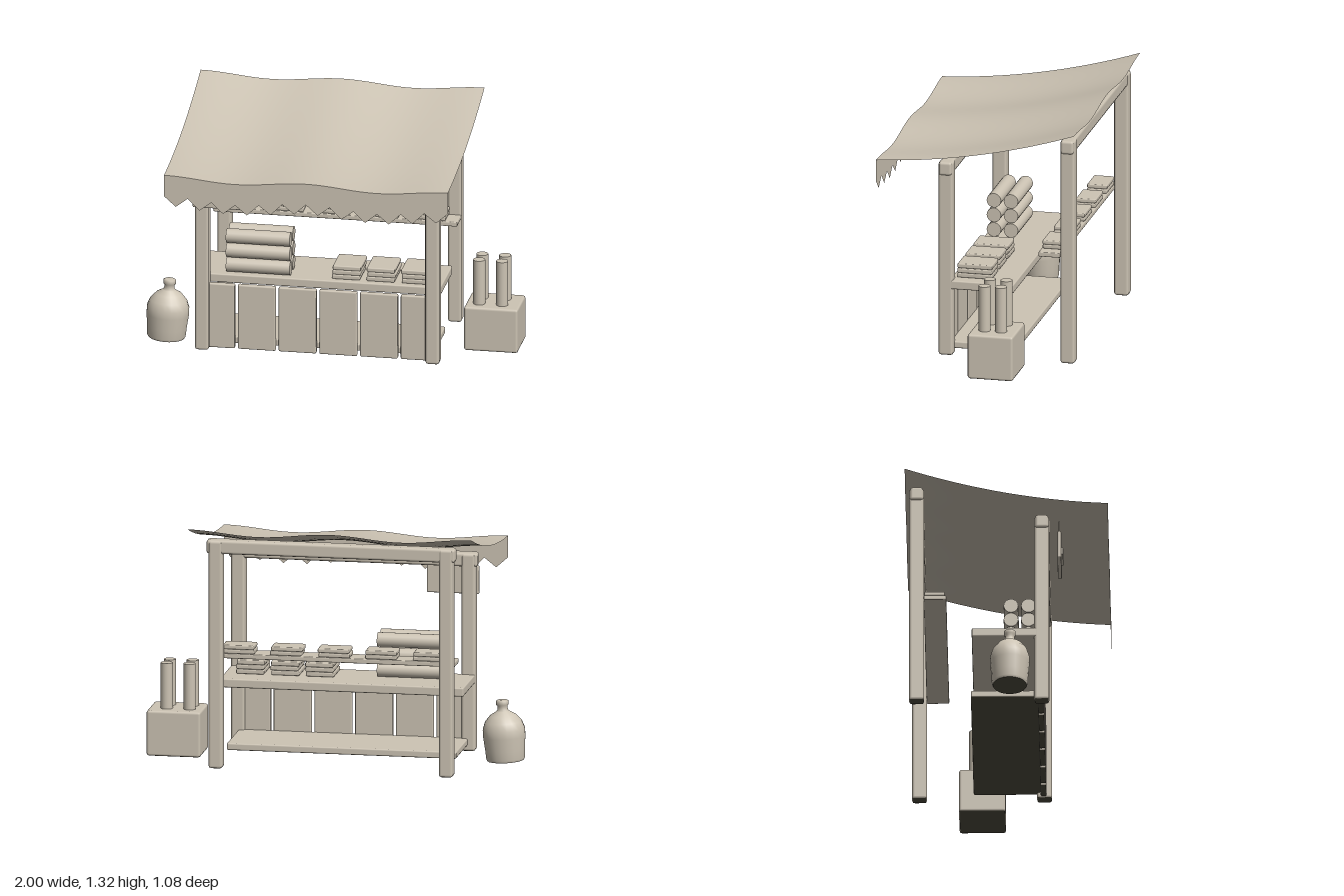
import * as THREE from 'three';
import { RoundedBoxGeometry } from 'three/addons/geometries/RoundedBoxGeometry.js';

export function createModel() {
  const model = new THREE.Group();
  model.name = 'marketStall';
  const clay = new THREE.MeshStandardMaterial({ color: 0xcdc4b4 });
  clay.name = 'clay';
  const sheet = new THREE.MeshStandardMaterial({ color: 0xcdc4b4, side: THREE.DoubleSide });
  sheet.name = 'clayCloth';
  const dark = new THREE.MeshStandardMaterial({ color: 0x504e40 });
  dark.name = 'darkUnderside';
  // Box sides in the order +x, -x, +y, -y, +z, -z
  const grounded = [clay, clay, clay, dark, clay, clay];

  const add = (name, geo, mat = clay, parent = model) => {
    const m = new THREE.Mesh(geo, mat);
    m.name = name;
    parent.add(m);
    return m;
  };
  // Bevelled block given by its min and max on each axis
  const block = (name, x0, x1, y0, y1, z0, z1, r = 0.008, mat = clay) => {
    const m = add(name, new RoundedBoxGeometry(x1 - x0, y1 - y0, z1 - z0, 1, r), mat);
    m.position.set((x0 + x1) / 2, (y0 + y1) / 2, (z0 + z1) / 2);
    return m;
  };

  // Posts and cross beams
  for (const [name, z, top] of [['front', 0.187, 1.092], ['back', -0.478, 1.257]]) {
    for (const x of [-0.6625, 0.5825]) {
      block(name + 'Post', x - 0.038, x + 0.038, 0.015, top - 0.003, z - 0.04, z + 0.04, 0.015, grounded);
    }
    block(name + 'Beam', -0.712, 0.632, top - 0.075, top, z - 0.036, z + 0.036, 0.015);
  }

  // Counter, lower shelf, back shelf
  block('counterTop', -0.699, 0.619, 0.385, 0.433, -0.185, 0.168);
  block('lowerShelf', -0.66, 0.58, 0.046, 0.084, -0.19, 0.17, 0.008, grounded);
  block('backShelf', -0.699, 0.619, 0.601, 0.627, -0.44, -0.32, 0.006);

  // Front planks
  for (let i = 0; i < 6; i++) {
    const x = -0.59 + i * 0.22;
    block('frontPlank', x - 0.102, x + 0.102, 0.025, 0.387, 0.166, 0.198, 0.008, grounded);
  }

  // Wavy sagging canopy
  const cx = -0.04, width = 1.534, half = 0.54;
  const roofY = (x, z) => 1.16 - 0.192 * z + 0.139 * z * z
    + 0.0135 * Math.cos((x - cx) * Math.PI * 4 / width);
  const roof = new THREE.PlaneGeometry(width, half * 2, 48, 16).rotateX(-Math.PI / 2).translate(cx, 0, 0);
  const p = roof.attributes.position;
  for (let i = 0; i < p.count; i++) p.setY(i, roofY(p.getX(i), p.getZ(i)));
  roof.computeVertexNormals();
  add('canopy', roof, sheet);

  // Zigzag valance
  const fringe = new THREE.Shape();
  const teeth = 12, x0 = cx - width / 2;
  for (let i = 0; i <= 48; i++) {
    const x = x0 + width * i / 48;
    if (i) fringe.lineTo(x, roofY(x, half));
    else fringe.moveTo(x, roofY(x, half));
  }
  for (let i = teeth * 2; i >= 0; i--) {
    const x = x0 + width * i / (teeth * 2);
    fringe.lineTo(x, roofY(x, half) - (i % 2 ? 0.173 : 0.118));
  }
  add('valance', new THREE.ShapeGeometry(fringe), sheet).position.z = half;

  // Stacks of folded cloth
  const stack = (name, x, y, z, w, d, count, h) => {
    for (let i = 0; i < count; i++) {
      const shift = 0.003 * Math.sin(x * 40 + i * 2.3);
      block(name, x - w / 2 + shift, x + w / 2 + shift,
        y + i * h, y + (i + 1) * h, z - d / 2, z + d / 2, 0.007);
    }
  };
  for (let i = 0; i < 5; i++) stack('shelfStack', 0.47 - i * 0.2565, 0.627, -0.383, 0.17, 0.11, 2, 0.0235);
  for (let i = 0; i < 3; i++) stack('counterStack', 0.104 + i * 0.187, 0.433, 0.043, 0.152, 0.19, 3, 0.0255);

  // Cloth rolls
  const rollGeo = new THREE.CylinderGeometry(0.039, 0.039, 0.345, 20).rotateZ(Math.PI / 2);
  for (let row = 0; row < 3; row++) {
    for (const z of [0.115, 0.022]) add('clothRoll', rollGeo).position.set(-0.372, 0.472 + row * 0.081, z);
  }

  // Hanging sign with a raised pentagon plate and two cords
  block('signBoard', -0.7, -0.416, 0.845, 1.0, 0.27, 0.291, 0.008);
  const plate = new THREE.Shape([[-0.628, 0.895], [-0.487, 0.895], [-0.487, 0.935], [-0.557, 0.962], [-0.628, 0.935]]
    .map(([x, y]) => new THREE.Vector2(x, y)));
  add('signPlate', new THREE.ExtrudeGeometry(plate, { depth: 0.009, bevelEnabled: false })).position.z = 0.291;
  for (const x of [-0.66, -0.46]) {
    add('signCord', new THREE.CylinderGeometry(0.003, 0.003, 0.075, 6)).position.set(x, 1.034, 0.28);
  }

  // Crate holding upright rolls
  block('crate', 0.708, 1.0, 0.015, 0.262, -0.27, -0.022, 0.014, grounded);
  for (const x of [0.78, 0.904]) {
    for (const z of [-0.095, -0.185]) {
      add('uprightRoll', new THREE.CylinderGeometry(0.032, 0.032, 0.28, 18)).position.set(x, 0.37, z);
    }
  }

  // Leaning clay jug with a dark base
  const jug = new THREE.Group();
  jug.name = 'jug';
  const profile = [[0.098, 0], [0.104, 0.012], [0.107, 0.06], [0.114, 0.13], [0.114, 0.17], [0.1, 0.21],
    [0.07, 0.245], [0.035, 0.266], [0.028, 0.275], [0.026, 0.295], [0.034, 0.302], [0.034, 0.322], [0.025, 0.327], [0, 0.327]]
    .map(([r, y]) => new THREE.Vector2(r, y));
  add('jugBody', new THREE.LatheGeometry(profile, 20), clay, jug);
  add('jugBase', new THREE.CircleGeometry(0.098, 20).rotateX(Math.PI / 2), dark, jug);
  jug.position.set(-0.89, 0.006, 0.02);
  jug.rotation.z = -0.06;
  jug.scale.z = 0.92;
  model.add(jug);

  return model;
}
